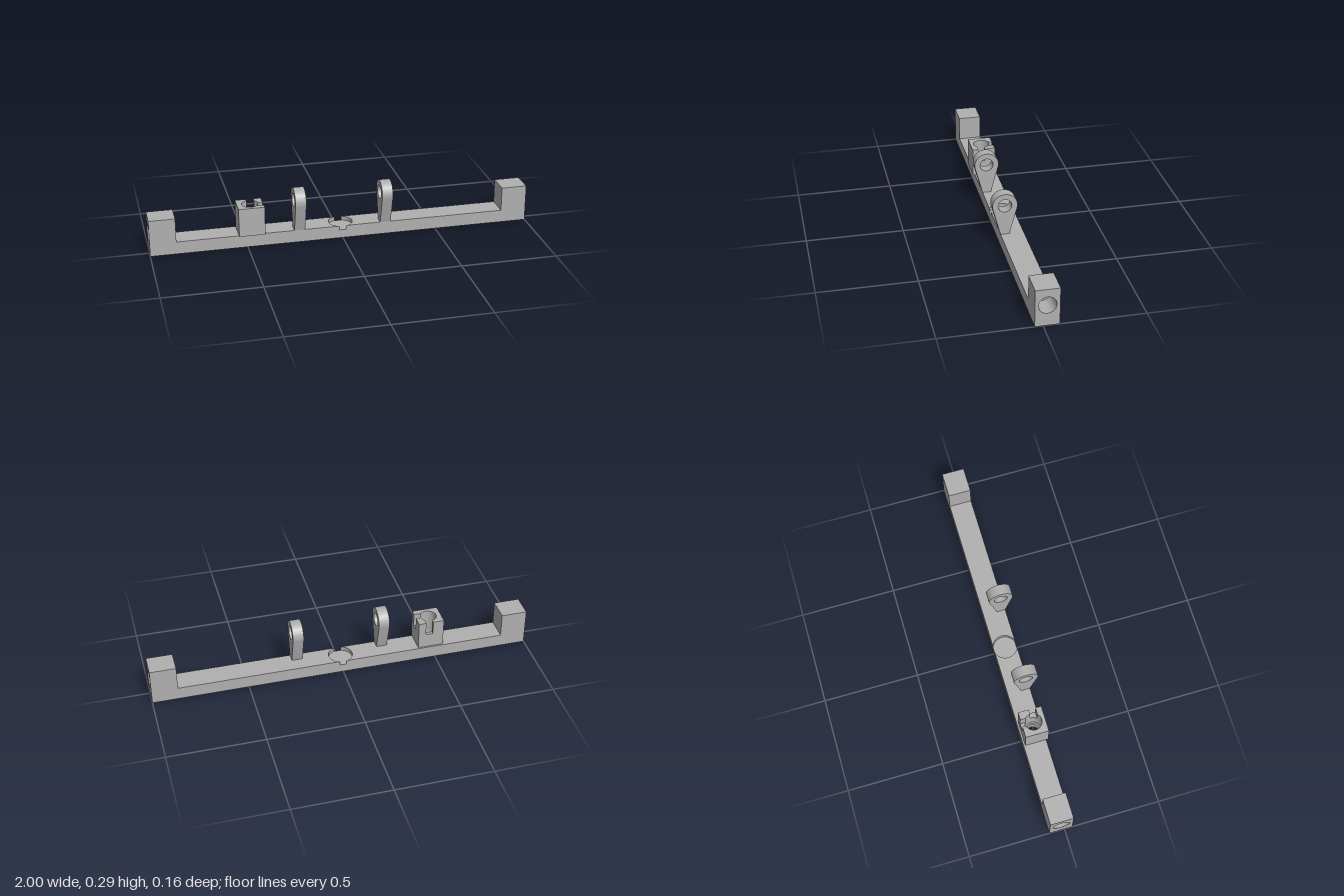
import * as THREE from 'three';
import { toCreasedNormals } from 'three/addons/utils/BufferGeometryUtils.js';

const grey = new THREE.MeshStandardMaterial({ color: 0xb0b0b0 });
grey.name = 'grey';

const BACK = -0.08, FRONT = 0.04, MID_Z = -0.02, DECK = 0.067, FLOOR = 0.045;
const END_IN = 0.865, POST_X = -0.477, POST_Z = -0.01;

function polygon(points) {
  return new THREE.Shape(points.map(([x, y]) => new THREE.Vector2(x, y)));
}
function rect(x0, y0, x1, y1) {
  return polygon([[x0, y0], [x1, y0], [x1, y1], [x0, y1]]);
}
function punch(shape, x, y, r) {
  shape.holes.push(new THREE.Path().absarc(x, y, r, 0, Math.PI * 2, true));
  return shape;
}
function extrude(shape, depth) {
  return new THREE.ExtrudeGeometry(shape, { depth, bevelEnabled: false, curveSegments: 40 });
}
function mesh(name, geometry) {
  const m = new THREE.Mesh(toCreasedNormals(geometry, 0.5), grey);
  m.name = name;
  return m;
}
// Plan shape (x, -z) raised from y0 to y1
function upright(name, shape, y0, y1, x = 0, z = 0) {
  return mesh(name, extrude(shape, y1 - y0).rotateX(-Math.PI / 2).translate(x, y0, z));
}
// Side shape (z, y) running from x0 to x1
function sideways(name, shape, x0, x1) {
  return mesh(name, extrude(shape, x1 - x0).rotateY(-Math.PI / 2).translate(x1, 0, 0));
}

export function createModel() {
  const model = new THREE.Group();
  model.name = 'mountingBar';

  // Lower bar, with the small through hole under the post
  const base = punch(rect(-END_IN, -FRONT, END_IN, -BACK), POST_X, -POST_Z, 0.036);
  model.add(upright('barBase', base, 0, FLOOR));

  // Upper bar in two halves, leaving a shallow round recess at the centre
  const r = 0.0625;
  const a = Math.asin(0.06 / r);
  for (const side of [-1, 1]) {
    const half = new THREE.Shape();
    half.moveTo(side * END_IN, -FRONT);
    half.lineTo(side * END_IN, -BACK);
    if (side > 0) half.absarc(0, -MID_Z, r, a, -a, true);
    else half.absarc(0, -MID_Z, r, Math.PI - a, Math.PI + a, false);
    half.closePath();
    if (side < 0) punch(half, POST_X, -POST_Z, 0.036);
    model.add(upright(side < 0 ? 'barTopRight' : 'barTopLeft', half, FLOOR, DECK));
  }

  for (const side of [-1, 1]) {
    // End block with a blind bore in its outer face
    const end = new THREE.Group();
    end.name = side < 0 ? 'endBlockRight' : 'endBlockLeft';
    const bored = punch(rect(BACK, 0, FRONT, 0.195), MID_Z, 0.11, 0.044);
    const solid = rect(BACK, 0, FRONT, 0.195);
    const span = (p, q) => (side > 0 ? [p, q] : [-q, -p]);
    end.add(sideways('boredEnd', bored, ...span(0.89, 1)));
    end.add(sideways('innerWall', solid, ...span(END_IN, 0.89)));
    model.add(end);

    // Tapered lug with an eye
    const lug = new THREE.Shape();
    lug.moveTo(-0.004, 0.06);
    lug.lineTo(0.038, 0.06);
    lug.absarc(0.017, 0.229, 0.064, -0.26, Math.PI + 0.26, false);
    lug.closePath();
    punch(lug, 0.017, 0.229, 0.035);
    model.add(sideways(side < 0 ? 'lugRight' : 'lugLeft', lug, ...span(0.2, 0.256)));
  }

  // Socket post: bored block whose upper half is slotted at the left and the back
  const post = new THREE.Group();
  post.name = 'socketPost';
  const w = 0.0675, d = 0.061, bore = 0.043;
  const lower = punch(rect(-w, -d, w, d), 0, 0, bore);
  post.add(upright('socketBase', lower, DECK - 0.001, 0.145, POST_X, POST_Z));

  const corner = new THREE.Shape();
  corner.moveTo(w, 0.005);
  corner.lineTo(w, d);
  corner.lineTo(0.028, d);
  corner.absarc(0, 0, bore, Math.acos(0.028 / bore), Math.asin(0.005 / bore), true);
  corner.closePath();
  post.add(upright('socketCorner', corner, 0.145, 0.218, POST_X, POST_Z));

  const wall = new THREE.Shape();
  wall.moveTo(-0.01, d);
  wall.lineTo(-w, d);
  wall.lineTo(-w, -d);
  wall.lineTo(w, -d);
  wall.lineTo(w, -0.03);
  wall.absarc(0, 0, bore, Math.asin(-0.03 / bore), Math.acos(-0.01 / bore) - Math.PI * 2, true);
  wall.closePath();
  post.add(upright('socketWall', wall, 0.145, 0.218, POST_X, POST_Z));
  model.add(post);

  return model;
}
